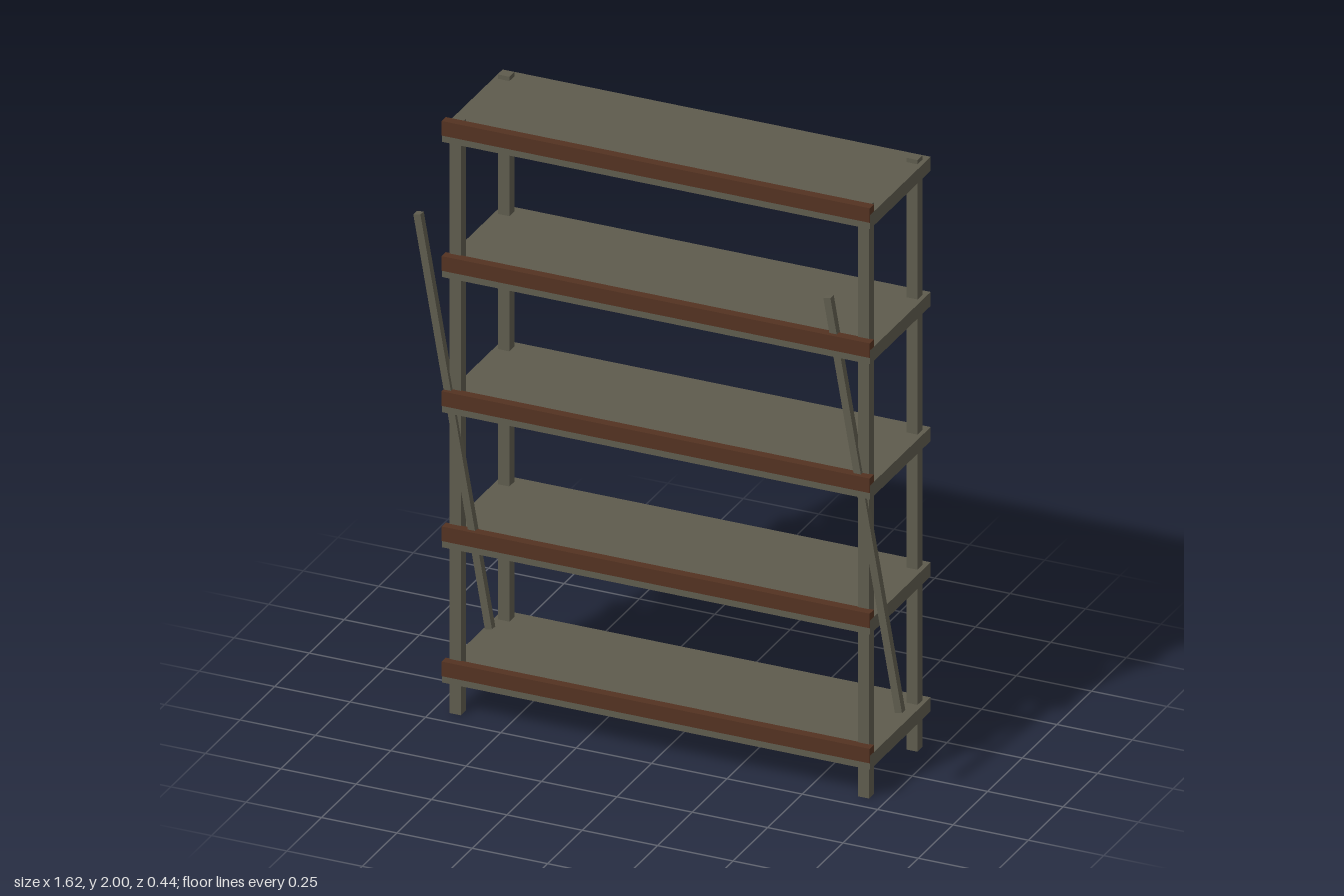
import * as THREE from 'three';

export function createModel() {
  const model = new THREE.Group();
  model.name = 'shelvingUnit';

  const frame = new THREE.MeshStandardMaterial({ color: 0x5e5b4d });
  frame.name = 'grey olive frame';
  const wood = new THREE.MeshStandardMaterial({ color: 0x533221 });
  wood.name = 'dark brown trim';

  const box = (name, material, [w, h, d], [x, y, z]) => {
    const mesh = new THREE.Mesh(new THREE.BoxGeometry(w, h, d), material);
    mesh.name = name;
    mesh.position.set(x, y, z);
    model.add(mesh);
    return mesh;
  };

  // Five shelves, each with a raised lip along the front edge
  for (let i = 0; i < 5; i++) {
    const y = 0.134 + i * 0.4545;
    box('shelf', frame, [1.42, 0.047, 0.437], [0, y, -0.0015]);
    box('frontLip', wood, [1.42, 0.049, 0.03], [0, y + 0.0235, 0.205]);
  }

  for (const side of [-1, 1]) {
    // Corner posts, standing slightly proud of the top shelf
    for (const end of [-1, 1]) {
      box('post', frame, [0.037, 1.99, 0.037], [side * 0.677, 0.995, end * 0.175]);
    }
    // Slanted front braces, both leaning the same way
    const brace = box('brace', frame, [0.024, 1.367, 0.024], [side * 0.68, 0.988, 0.194]);
    brace.rotation.z = THREE.MathUtils.degToRad(10);
  }

  return model;
}
